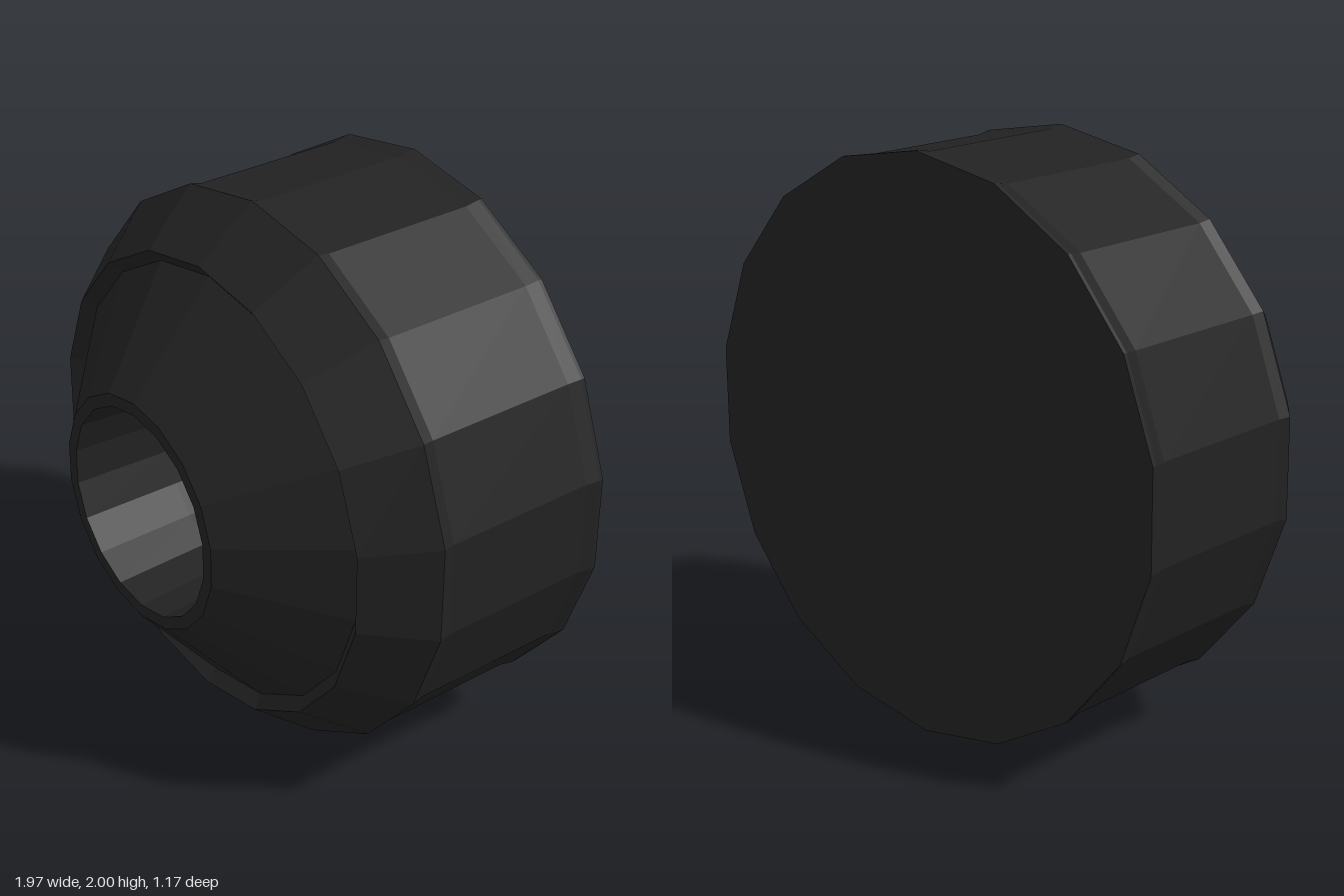
import * as THREE from 'three';

const SIDES = 18;

// Faceted ring turned around the z axis; profile is [radius, z] from back to front
function turned(name, profile, material) {
  const points = profile.map(([r, z]) => new THREE.Vector2(r, z));
  const geometry = new THREE.LatheGeometry(points, SIDES);
  geometry.rotateX(Math.PI / 2);
  const mesh = new THREE.Mesh(geometry, material);
  mesh.name = name;
  mesh.position.y = 1;
  return mesh;
}

export function createModel() {
  const model = new THREE.Group();
  model.name = 'steppedKnob';
  const black = new THREE.MeshStandardMaterial({ color: 0x222222, flatShading: true });
  black.name = 'matte black';

  model.add(
    // Closed back plate
    turned('backPlate', [[0, -0.585], [1, -0.585]], black),
    // Barrel between two slightly raised rims
    turned('barrel', [[1, -0.585], [1, -0.57], [0.99, -0.52], [0.99, 0.055], [1, 0.1]], black),
    // Sloping shoulder that ends in a shallow groove
    turned('shoulder', [[1, 0.1], [0.83, 0.315], [0.785, 0.277]], black),
    // Front cone with its flat lip
    turned('frontCone', [[0.785, 0.277], [0.42, 0.585], [0.375, 0.585]], black),
    // Deep central hole: tapered mouth, straight wall and floor
    turned('bore', [[0.375, 0.585], [0.355, 0.215], [0.355, -0.14], [0, -0.14]], black),
  );
  return model;
}
